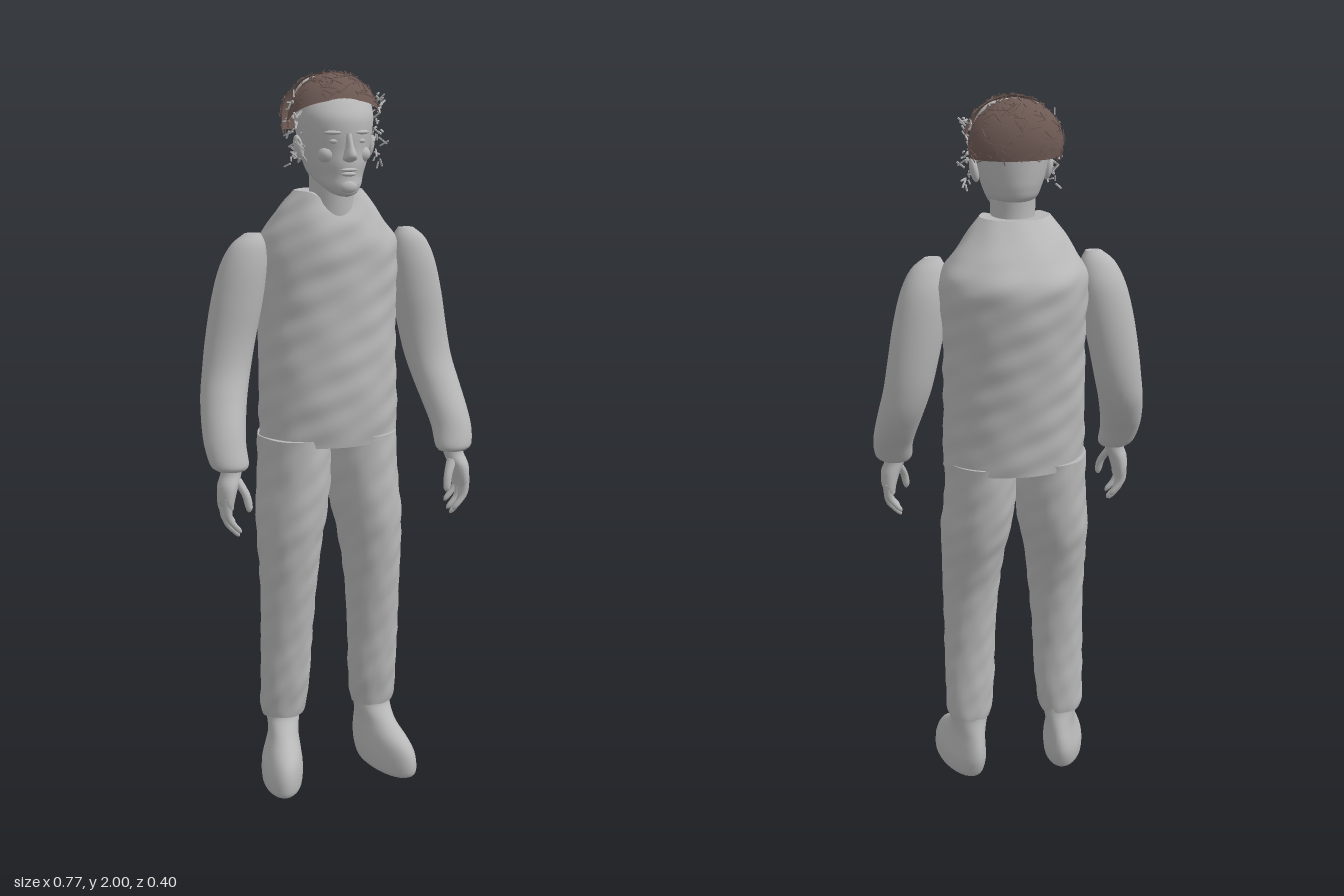
import * as THREE from 'three';
import { mergeGeometries } from 'three/addons/utils/BufferGeometryUtils.js';

const grey = new THREE.MeshStandardMaterial({ color: 0xb8b8b8 });
grey.name = 'plain grey';
const brown = new THREE.MeshStandardMaterial({ color: 0x6e5a54, side: THREE.DoubleSide });
brown.name = 'hair brown';

let seed = 7;
const rand = () => (seed = (seed * 16807) % 2147483647) / 2147483647;
const range = (a, b) => a + (b - a) * rand();

function add(parent, name, geometry, material = grey) {
  const m = new THREE.Mesh(geometry, material);
  m.name = name;
  parent.add(m);
  return m;
}

// Smooth interpolation through rows of numbers
function sample(rows, t) {
  const n = rows.length - 1;
  const i = Math.min(Math.floor(t * n), n - 1);
  const f = t * n - i;
  const at = k => rows[Math.max(0, Math.min(n, k))];
  return rows[0].map((_, c) => {
    const [a, b, d, e] = [at(i - 1)[c], at(i)[c], at(i + 1)[c], at(i + 2)[c]];
    return b + 0.5 * f * (d - a + f * (2 * a - 5 * b + 4 * d - e + f * (3 * (b - d) + e - a)));
  });
}

// Skin over horizontal rings, bottom to top. Row: [y, centre x, half width, front z, back z]
function loft(rows, { side = 1, seg = 32, steps = 4, shear = 0, dip = 0, wrinkle = 0 } = {}) {
  const pos = [], idx = [], n = (rows.length - 1) * steps;
  for (let i = 0; i <= n; i++) {
    const [y, cx, rx, zf, zb] = sample(rows, i / n);
    const low = dip * Math.pow(i / n, 8);
    for (let j = 0; j < seg; j++) {
      const t = j / seg * Math.PI * 2, s = Math.sin(t), c = Math.cos(t);
      const w = wrinkle * (Math.sin(y * 47 + t * 3) * Math.sin(t * 5 - y * 19) + 0.6 * Math.sin(y * 83 - t * 7));
      const z = (zf + zb) / 2 + ((zf - zb) / 2 + w) * c;
      pos.push(side * (cx + shear * z) + (rx + w) * s, y - low * Math.pow(Math.max(0, c), 8), z);
    }
  }
  for (let i = 0; i < n; i++) for (let j = 0; j < seg; j++) {
    const a = i * seg + j, b = i * seg + (j + 1) % seg;
    idx.push(a, b, b + seg, a, b + seg, a + seg);
  }
  // End caps on their own vertices, so the rims stay sharp
  for (const [row, up] of [[0, false], [n, true]]) {
    const start = pos.length / 3, mid = [0, 0, 0];
    for (let j = 0; j < seg; j++) for (let k = 0; k < 3; k++) {
      const v = pos[(row * seg + j) * 3 + k];
      pos.push(v);
      mid[k] += v / seg;
    }
    pos.push(...mid);
    for (let j = 0; j < seg; j++) {
      const a = start + j, b = start + (j + 1) % seg;
      idx.push(...(up ? [a, b, start + seg] : [b, a, start + seg]));
    }
  }
  const g = new THREE.BufferGeometry();
  g.setAttribute('position', new THREE.Float32BufferAttribute(pos, 3));
  g.setIndex(idx);
  g.computeVertexNormals();
  return g;
}

function blob(parent, name, x, y, z, rx, ry, rz) {
  const m = add(parent, name, new THREE.SphereGeometry(1, 16, 10));
  m.position.set(x, y, z);
  m.scale.set(rx, ry, rz);
  return m;
}

// Point on one half of the hair shell: u runs side to side, v from hairline to crown
function hairPoint(front, u, v, lift = 0) {
  const az = (u - 0.5) * Math.PI;
  const low = front ? 0.43 - 0.5 * Math.pow(Math.abs(u - 0.5) * 2, 2) : -0.28;
  const el = low + (1.5 - low) * v, k = 1 + lift;
  return new THREE.Vector3(
    0.126 * k * Math.sin(az) * Math.cos(el),
    1.88 + 0.117 * k * Math.sin(el),
    front ? 0.04 + 0.095 * k * Math.cos(az) * Math.cos(el) : -0.01 - 0.082 * k * Math.cos(az) * Math.cos(el));
}

function hairCap(front) {
  const g = new THREE.PlaneGeometry(1, 1, 24, 10), p = g.attributes.position;
  for (let i = 0; i < p.count; i++) {
    const q = hairPoint(front, front ? p.getX(i) + 0.5 : 0.5 - p.getX(i), p.getY(i) + 0.5);
    p.setXYZ(i, q.x, q.y, q.z);
  }
  g.computeVertexNormals();
  return g;
}

// Thin strand from a to b
function strand(a, b, w) {
  const o = new THREE.Object3D();
  o.position.copy(a).lerp(b, 0.5);
  o.lookAt(b);
  o.updateMatrix();
  return new THREE.BoxGeometry(w, w, a.distanceTo(b)).applyMatrix4(o.matrix);
}

export function createModel() {
  const model = new THREE.Group();
  model.name = 'standingMan';

  // Jacket with an open V at the collar
  add(model, 'torso', loft([
    [1.0, 0.005, 0.198, 0.13, -0.15], [1.1, 0.005, 0.198, 0.138, -0.158], [1.22, 0.005, 0.196, 0.138, -0.17],
    [1.35, 0.007, 0.194, 0.134, -0.184], [1.47, 0.01, 0.2, 0.13, -0.197], [1.54, 0.01, 0.198, 0.128, -0.198],
    [1.59, 0.005, 0.17, 0.12, -0.165], [1.64, 0, 0.135, 0.105, -0.12], [1.69, 0, 0.095, 0.085, -0.072],
  ], { seg: 56, steps: 8, dip: 0.055, wrinkle: 0.002 }));

  for (const side of [1, -1]) {
    const label = side > 0 ? 'left' : 'right';
    add(model, label + 'Leg', loft([
      [0.19, 0.138, 0.06, 0.05, -0.05], [0.22, 0.138, 0.067, 0.056, -0.052], [0.3, 0.134, 0.072, 0.07, -0.05],
      [0.42, 0.132, 0.074, 0.082, -0.047], [0.6, 0.126, 0.081, 0.106, -0.06], [0.72, 0.12, 0.09, 0.12, -0.09],
      [0.8, 0.112, 0.099, 0.126, -0.113], [0.9, 0.101, 0.1, 0.124, -0.127], [1.02, 0.098, 0.1, 0.118, -0.135],
    ], { side, steps: 8, wrinkle: 0.0015 }));

    add(model, label + 'Shoe', loft([
      [0, 0.15, 0.045, 0.165, -0.04], [0.015, 0.15, 0.058, 0.183, -0.065], [0.06, 0.148, 0.06, 0.183, -0.082],
      [0.1, 0.144, 0.052, 0.162, -0.081], [0.14, 0.14, 0.045, 0.1, -0.068], [0.18, 0.138, 0.049, 0.055, -0.052],
      [0.205, 0.138, 0.052, 0.048, -0.048],
    ], { side, shear: 0.2 }));

    add(model, label + 'Arm', loft([
      [0.97, 0.322, 0.04, 0.17, 0.1], [0.985, 0.326, 0.052, 0.178, 0.086], [1.03, 0.33, 0.056, 0.165, 0.052],
      [1.08, 0.325, 0.059, 0.145, 0.01], [1.15, 0.312, 0.063, 0.108, -0.032], [1.22, 0.296, 0.066, 0.078, -0.051],
      [1.3, 0.281, 0.069, 0.067, -0.058], [1.4, 0.262, 0.071, 0.068, -0.057], [1.49, 0.245, 0.065, 0.066, -0.047],
      [1.55, 0.232, 0.048, 0.055, -0.022], [1.582, 0.22, 0.022, 0.035, 0.005],
    ], { side, steps: 5 }));

    // Hand: palm, four curled fingers and thumb
    const hand = new THREE.Group();
    hand.name = label + 'Hand';
    model.add(hand);
    add(hand, 'palm', loft([
      [0.87, 0.338, 0.014, 0.182, 0.108], [0.89, 0.342, 0.021, 0.188, 0.103], [0.93, 0.336, 0.027, 0.185, 0.105],
      [0.96, 0.325, 0.028, 0.168, 0.11], [0.985, 0.322, 0.028, 0.165, 0.11],
    ], { side, seg: 20 }));
    [0.115, 0.135, 0.156, 0.175].forEach((z, i) => {
      const tip = [0.815, 0.797, 0.79, 0.805][i];
      add(hand, 'finger', loft([
        [tip, 0.312, 0.004, z + 0.004, z - 0.004], [tip + 0.012, 0.32, 0.01, z + 0.009, z - 0.009],
        [tip + 0.045, 0.343, 0.011, z + 0.01, z - 0.01], [0.9, 0.345, 0.013, z + 0.011, z - 0.011],
      ], { side, seg: 10 }));
    });
    add(hand, 'thumb', loft([
      [0.862, 0.288, 0.004, 0.184, 0.176], [0.875, 0.288, 0.01, 0.189, 0.17],
      [0.91, 0.295, 0.012, 0.184, 0.16], [0.95, 0.316, 0.015, 0.168, 0.135],
    ], { side, seg: 10 }));
  }

  // Neck and head
  add(model, 'neck', loft([
    [1.58, 0, 0.072, 0.1, -0.05], [1.65, 0, 0.062, 0.1, -0.042], [1.7, 0, 0.06, 0.1, -0.036], [1.78, 0, 0.062, 0.1, -0.04],
  ]));
  const head = new THREE.Group();
  head.name = 'head';
  model.add(head);
  add(head, 'skull', loft([
    [1.682, 0, 0.012, 0.15, 0.11], [1.69, 0, 0.032, 0.163, 0.075], [1.71, 0, 0.052, 0.166, 0.03],
    [1.735, 0, 0.068, 0.162, -0.045], [1.765, 0, 0.08, 0.164, -0.062], [1.8, 0, 0.09, 0.161, -0.067],
    [1.84, 0, 0.098, 0.163, -0.07], [1.88, 0, 0.104, 0.16, -0.072], [1.91, 0, 0.104, 0.143, -0.072],
    [1.94, 0, 0.098, 0.118, -0.066], [1.965, 0, 0.083, 0.092, -0.054], [1.982, 0, 0.06, 0.07, -0.035],
    [1.992, 0, 0.02, 0.03, 0.005],
  ], { seg: 40 }));

  // Face
  add(head, 'nose', loft([
    [1.772, 0, 0.007, 0.172, 0.14], [1.779, 0, 0.018, 0.188, 0.14], [1.791, 0, 0.016, 0.198, 0.14],
    [1.815, 0, 0.01, 0.183, 0.14], [1.845, 0, 0.009, 0.167, 0.14],
  ], { seg: 16 }));
  blob(head, 'upperLip', 0, 1.752, 0.162, 0.024, 0.005, 0.01);
  blob(head, 'lowerLip', 0, 1.741, 0.161, 0.02, 0.006, 0.01);
  blob(head, 'chin', 0, 1.708, 0.156, 0.024, 0.018, 0.015);
  for (const s of [1, -1]) {
    blob(head, 'eye', s * 0.036, 1.825, 0.147, 0.014, 0.007, 0.01);
    blob(head, 'brow', s * 0.038, 1.847, 0.148, 0.025, 0.006, 0.013).rotation.y = s * 0.3;
    blob(head, 'cheek', s * 0.048, 1.79, 0.125, 0.024, 0.022, 0.024);
    blob(head, 'ear', s * 0.1, 1.805, 0.05, 0.012, 0.034, 0.02).rotation.z = -s * 0.2;
  }

  // Hair: two caps with loose strands, leaving a bare band between them
  for (const front of [true, false]) {
    add(head, front ? 'frontHair' : 'backHair', hairCap(front), brown);
    const strands = [];
    for (let i = 0; i < 110; i++) {
      const u = range(0.02, 0.98), v = range(0, 0.9);
      strands.push(strand(hairPoint(front, u, v, 0.01),
        hairPoint(front, u + range(-0.1, 0.1), v + range(-0.12, 0.12), range(0.01, 0.06)), 0.0022));
    }
    add(head, 'hairStrands', mergeGeometries(strands), brown);
  }

  // Loose wisps around the ears and temples
  const wisps = [];
  for (const s of [1, -1]) for (let i = 0; i < 36; i++) {
    const y = range(1.76, 1.94);
    const a = new THREE.Vector3(s * range(0.095, 0.125), y, range(0.03, 0.1));
    const b = a.clone().add(new THREE.Vector3(s * range(-0.005, 0.02), range(-0.02, 0.02), range(-0.02, 0.02)));
    wisps.push(strand(a, b, 0.004));
  }
  add(head, 'wisps', mergeGeometries(wisps));

  return model;
}
